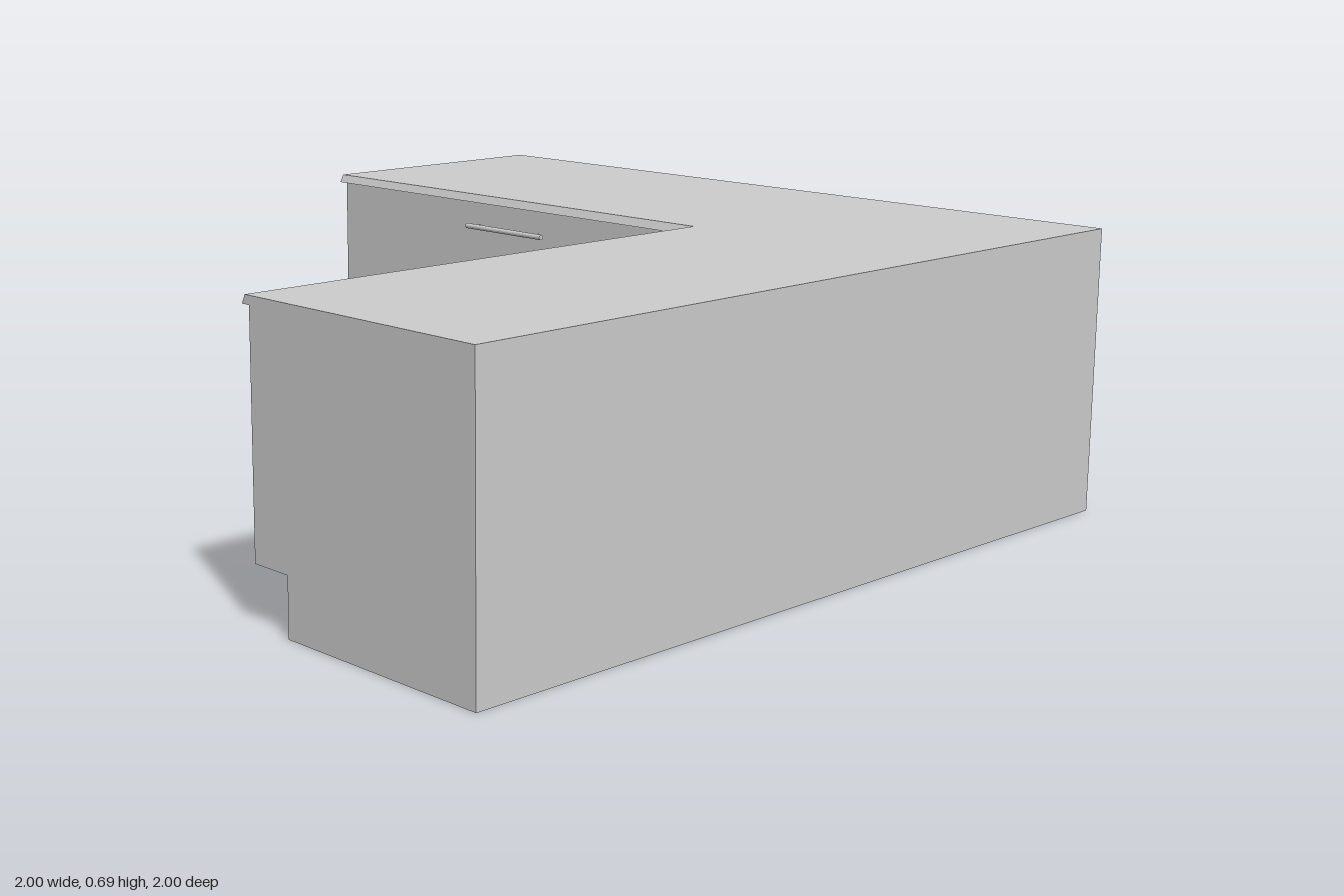
import * as THREE from 'three';

const material = new THREE.MeshStandardMaterial({ color: 0xcccccc, flatShading: true, side: THREE.DoubleSide });

// Where a profile point [d, y] lands at the three stations of the mitred L: right end, corner, left end
const stations = [
  ([d, y]) => [d, y, 1],
  ([d, y]) => [d, y, -d],
  ([d, y]) => [-1, y, -d],
];

// Sweeps an open profile round the L as flat panels
function sweepL(name, profile) {
  const pos = [];
  for (let j = 0; j < 2; j++) {
    for (let i = 0; i < profile.length - 1; i++) {
      const a = stations[j](profile[i]), b = stations[j](profile[i + 1]);
      const c = stations[j + 1](profile[i]), d = stations[j + 1](profile[i + 1]);
      pos.push(...a, ...c, ...b, ...b, ...c, ...d);
    }
  }
  const geometry = new THREE.BufferGeometry();
  geometry.setAttribute('position', new THREE.Float32BufferAttribute(pos, 3));
  geometry.computeVertexNormals();
  return named(name, geometry);
}

function named(name, geometry) {
  const mesh = new THREE.Mesh(geometry, material);
  mesh.name = name;
  return mesh;
}

// Bar handle on two posts, standing off a front that faces +z at z = 0
function makeHandle() {
  const handle = new THREE.Group();
  handle.name = 'handle';
  const bar = named('handleBar', new THREE.CylinderGeometry(0.007, 0.007, 0.28, 12).rotateZ(Math.PI / 2));
  bar.position.z = 0.02;
  handle.add(bar);
  for (const x of [-0.11, 0.11]) {
    const post = named('handlePost', new THREE.CylinderGeometry(0.004, 0.004, 0.022, 8).rotateX(Math.PI / 2));
    post.position.set(x, 0, 0.009);
    handle.add(post);
  }
  return handle;
}

export function createModel() {
  const group = new THREE.Group();
  const front = 0.333, kick = 0.44, kickTop = 0.135, under = 0.67, top = 0.69;

  // Hollow shell, open underneath
  const outer = [[1, 0], [1, top]];
  const counter = [[1, top], [0.32, top], [0.31, under], [front, under]];
  const fronts = [[front, under], [front, kickTop]];
  const toeKick = [[front, kickTop], [kick, kickTop], [kick, 0]];
  group.add(
    sweepL('outerWalls', outer),
    sweepL('worktop', counter),
    sweepL('drawerFronts', fronts),
    sweepL('toeKick', toeKick),
  );

  // End panels closing both wings
  const outline = [...outer, ...counter, ...fronts, ...toeKick].map(([d, y]) => new THREE.Vector2(d, y));
  const unique = outline.filter((p, i) => i === 0 || !p.equals(outline[i - 1]));
  const endGeometry = new THREE.ShapeGeometry(new THREE.Shape(unique));
  const rightEnd = named('rightWingEnd', endGeometry);
  rightEnd.position.z = 1;
  const leftEnd = named('leftWingEnd', endGeometry.clone().rotateY(Math.PI / 2));
  leftEnd.position.x = -1;
  group.add(rightEnd, leftEnd);

  // Three handles on each wing
  for (const y of [0.605, 0.455, 0.26]) {
    const a = makeHandle();
    a.position.set(-0.335, y, -front);
    const b = makeHandle();
    b.position.set(front, y, 0.335);
    b.rotation.y = -Math.PI / 2;
    group.add(a, b);
  }
  return group;
}
